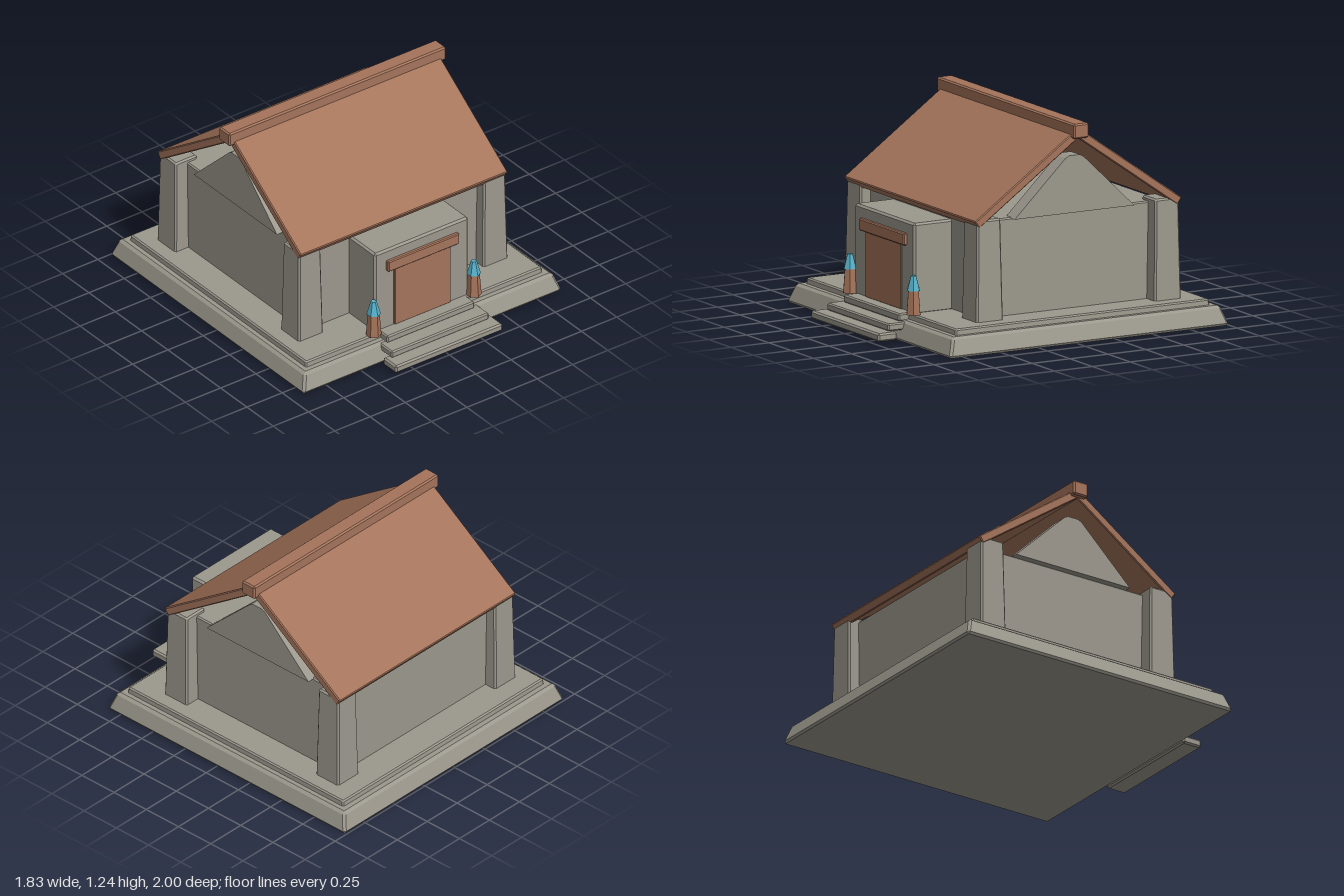
import * as THREE from 'three';
import { ConvexGeometry } from 'three/addons/geometries/ConvexGeometry.js';

const stone = new THREE.MeshStandardMaterial({ color: 0x9c988d });
stone.name = 'stone';
const clay = new THREE.MeshStandardMaterial({ color: 0xa5745b });
clay.name = 'clay';
const crystal = new THREE.MeshStandardMaterial({ color: 0x56b0c9 });
crystal.name = 'crystal';
for (const m of [stone, clay, crystal]) m.name += 'Colour';

const RIDGE_Z = -0.11;

// Box with chamfered edges between two corners; the top shrinks by inset
function chamferBox([x0, y0, z0], [x1, y1, z1], c = 0.008, inset = 0) {
  const half = [(x1 - x0) / 2, (y1 - y0) / 2, (z1 - z0) / 2];
  const points = [];
  for (const sx of [-1, 1]) for (const sy of [-1, 1]) for (const sz of [-1, 1]) {
    for (let axis = 0; axis < 3; axis++) {
      const p = [sx, sy, sz].map((s, i) => s * (half[i] - (i === axis ? 0 : c)));
      const shrink = inset * (p[1] / half[1] + 1) / 2;
      points.push(new THREE.Vector3(p[0] - sx * shrink, p[1], p[2] - sz * shrink));
    }
  }
  const geometry = new ConvexGeometry(points);
  geometry.translate((x0 + x1) / 2, (y0 + y1) / 2, (z0 + z1) / 2);
  return geometry;
}

export function createModel() {
  const model = new THREE.Group();
  model.name = 'stoneHouse';
  const add = (name, geometry, material) => {
    const mesh = new THREE.Mesh(geometry, material);
    mesh.name = name;
    model.add(mesh);
    return mesh;
  };

  // Stepped foundation
  add('foundation', chamferBox([-0.92, 0, -1], [0.92, 0.115, 0.845], 0.014, 0.04), stone);
  add('platform', chamferBox([-0.84, 0.1, -0.915], [0.84, 0.15, 0.762], 0.008, 0.004), stone);

  // Entrance steps
  add('lowerStep', chamferBox([-0.38, 0.018, 0.875], [0.38, 0.066, 1], 0.01), stone);
  add('middleStep', chamferBox([-0.345, 0.064, 0.77], [0.345, 0.108, 0.915], 0.008), stone);
  add('upperStep', chamferBox([-0.31, 0.106, 0.7], [0.31, 0.152, 0.825], 0.008), stone);

  // Walls and porch
  add('walls', chamferBox([-0.65, 0.14, -0.71], [0.65, 0.715, 0.49], 0.008), stone);
  add('porch', chamferBox([-0.333, 0.14, 0.4], [0.333, 0.67, 0.738], 0.012), stone);

  // Tapered corner pillars
  for (const sx of [-1, 1]) for (const sz of [-1, 1]) {
    const x = sx * 0.655, z = RIDGE_Z + sz * 0.587;
    add('cornerPillar', chamferBox([x - 0.088, 0.14, z - 0.088], [x + 0.088, 0.738, z + 0.088], 0.01, 0.011), stone);
  }

  // Blunt gables, cut from a plate
  const gable = new THREE.Shape([[-0.395, 0.71], [0.395, 0.71], [0.06, 1.03], [0.035, 1.043], [-0.035, 1.043], [-0.06, 1.03]]
    .map(([z, y]) => new THREE.Vector2(z, y)));
  for (const sx of [-1, 1]) {
    const geometry = new THREE.ExtrudeGeometry(gable, { depth: 0.1, bevelEnabled: false });
    geometry.translate(0, 0, -0.05);
    geometry.rotateY(Math.PI / 2);
    geometry.translate(sx * 0.64, 0, RIDGE_Z);
    add('gable', geometry, stone);
  }

  // Roof slopes and ridge beam
  const pitch = 0.61, length = 0.815;
  for (const s of [-1, 1]) {
    const slope = add('roofSlope', chamferBox([-0.735, -0.025, -length / 2], [0.735, 0.025, length / 2], 0.006), clay);
    slope.rotation.x = s * pitch;
    slope.position.set(0, 0.713 + Math.sin(pitch) * length / 2, RIDGE_Z + s * Math.cos(pitch) * length / 2);
  }
  add('ridgeBeam', chamferBox([-0.77, 1.153, RIDGE_Z - 0.05], [0.77, 1.24, RIDGE_Z + 0.05], 0.009), clay);

  // Door and lintel
  add('door', chamferBox([-0.2, 0.15, 0.72], [0.2, 0.535, 0.748], 0.004), clay);
  add('lintel', chamferBox([-0.253, 0.53, 0.725], [0.253, 0.6, 0.76], 0.006), clay);

  // Lamp posts with crystal tips
  for (const sx of [-1, 1]) {
    const post = new THREE.CylinderGeometry(0.034, 0.045, 0.14, 6).toNonIndexed();
    const tip = new THREE.CylinderGeometry(0.017, 0.041, 0.085, 6).toNonIndexed();
    post.computeVertexNormals();
    tip.computeVertexNormals();
    add('lampPost', post, clay).position.set(sx * 0.355, 0.22, 0.755);
    add('lampCrystal', tip, crystal).position.set(sx * 0.355, 0.332, 0.755);
  }
  return model;
}
